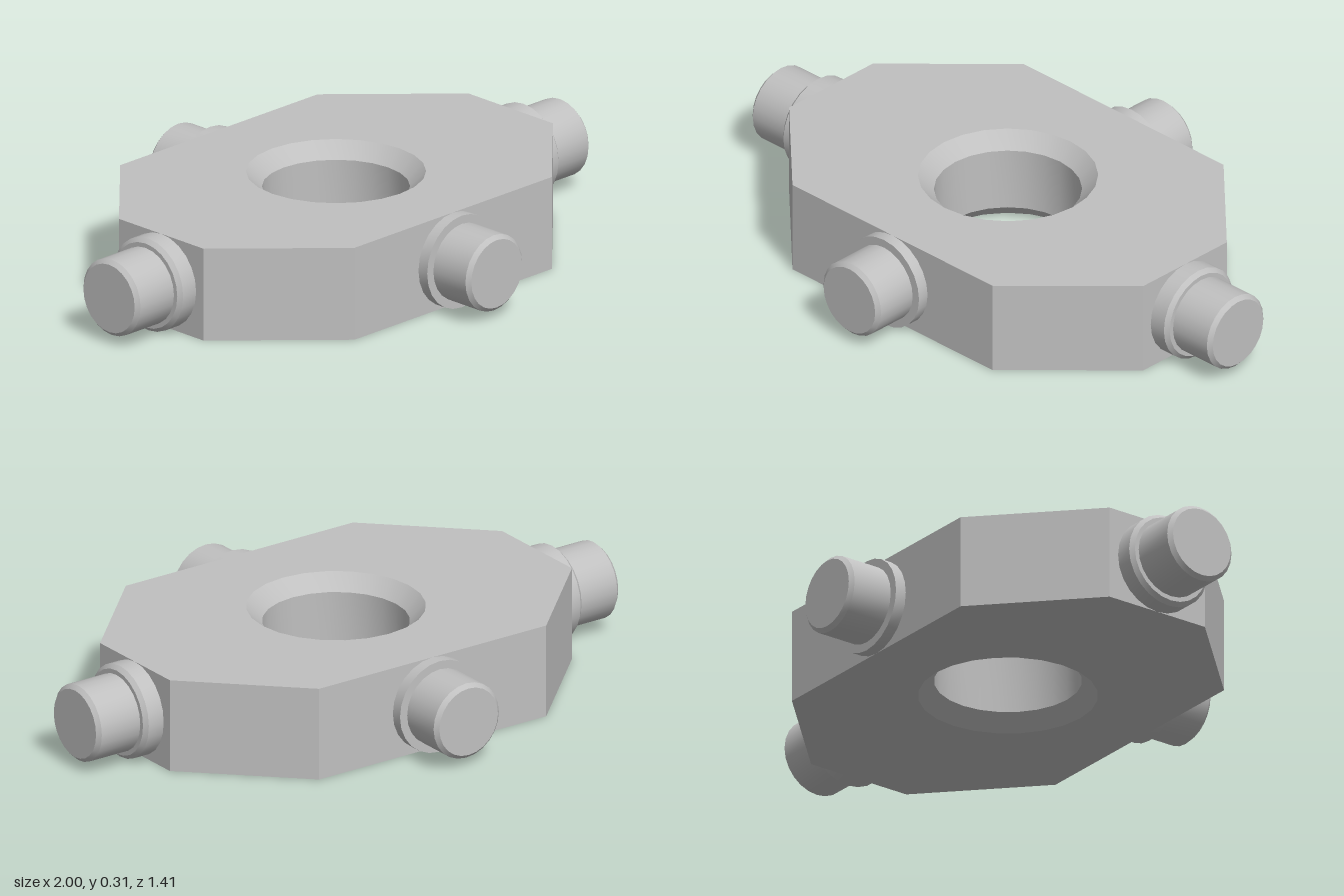
import * as THREE from 'three';
import { toCreasedNormals } from 'three/addons/utils/BufferGeometryUtils.js';

const H = 0.305;          // plate thickness
const SIDES = 24;
const HOLE = 0.28;        // countersink outer radius
const BORE = 0.23;

const lathe = (points) => toCreasedNormals(
  new THREE.LatheGeometry(points.map(([r, y]) => new THREE.Vector2(r, y)), SIDES), 0.5);

export function createModel() {
  const model = new THREE.Group();
  model.name = 'trunnionBlock';
  const steel = new THREE.MeshStandardMaterial({ color: 0xc0c0c0 });
  steel.name = 'steel grey';

  const add = (name, geometry, parent = model) => {
    const mesh = new THREE.Mesh(geometry, steel);
    mesh.name = name;
    parent.add(mesh);
    return mesh;
  };

  // Octagonal outline, counter-clockwise from above
  const quarter = [[0.77, 0.185], [0.435, 0.512]];
  const outline = [
    ...quarter,
    ...quarter.map(([x, y]) => [-x, y]).reverse(),
    ...quarter.map(([x, y]) => [-x, -y]),
    ...quarter.map(([x, y]) => [x, -y]).reverse(),
  ].map(([x, y]) => new THREE.Vector2(x, y));

  // Top and bottom faces with the round opening
  const face = new THREE.Shape(outline);
  const ring = [];
  for (let i = 0; i < SIDES; i++) {
    const a = (i / SIDES) * Math.PI * 2;
    ring.push(new THREE.Vector2(HOLE * Math.cos(a), HOLE * Math.sin(a)));
  }
  face.holes.push(new THREE.Path(ring));
  add('plateTop', new THREE.ShapeGeometry(face).rotateX(-Math.PI / 2).translate(0, H, 0));
  add('plateBottom', new THREE.ShapeGeometry(face).rotateX(Math.PI / 2));

  // Flat walls around the octagon
  const walls = [];
  outline.forEach((a, i) => {
    const b = outline[(i + 1) % outline.length];
    const [a0, b0, b1, a1] = [[a, 0], [b, 0], [b, H], [a, H]].map(([p, y]) => [p.x, y, -p.y]);
    walls.push(...a0, ...b0, ...b1, ...a0, ...b1, ...a1);
  });
  const wallGeometry = new THREE.BufferGeometry();
  wallGeometry.setAttribute('position', new THREE.Float32BufferAttribute(walls, 3));
  wallGeometry.computeVertexNormals();
  add('plateWalls', wallGeometry);

  // Central bore, countersunk at both ends
  const sink = HOLE - BORE;
  add('bore', lathe([[HOLE, H], [BORE, H - sink], [BORE, sink], [HOLE, 0]]));

  // Collared pins: start, collar end, pin end, collar bevel
  const R = H / 2, PIN = 0.125, BEVEL = 0.013;
  const makePin = (name, start, collarEnd, end, collarBevel, angle) => {
    const group = new THREE.Group();
    group.name = name;
    const collar = [[R, start], [R, collarEnd - collarBevel]];
    if (collarBevel) collar.push([R - collarBevel, collarEnd]);
    collar.push([PIN, collarEnd]);
    const pin = [[PIN, collarEnd], [PIN, end - BEVEL], [PIN - BEVEL, end], [0, end]];
    add('collar', lathe(collar).rotateX(Math.PI / 2), group);
    add('pin', lathe(pin).rotateX(Math.PI / 2), group);
    group.position.y = R;
    group.rotation.y = angle;
    model.add(group);
  };
  makePin('frontPin', 0.512, 0.55, 0.703, 0, 0);
  makePin('backPin', 0.512, 0.55, 0.703, 0, Math.PI);
  makePin('leftPin', 0.77, 0.84, 1, BEVEL, Math.PI / 2);
  makePin('rightPin', 0.77, 0.84, 1, BEVEL, -Math.PI / 2);

  return model;
}
